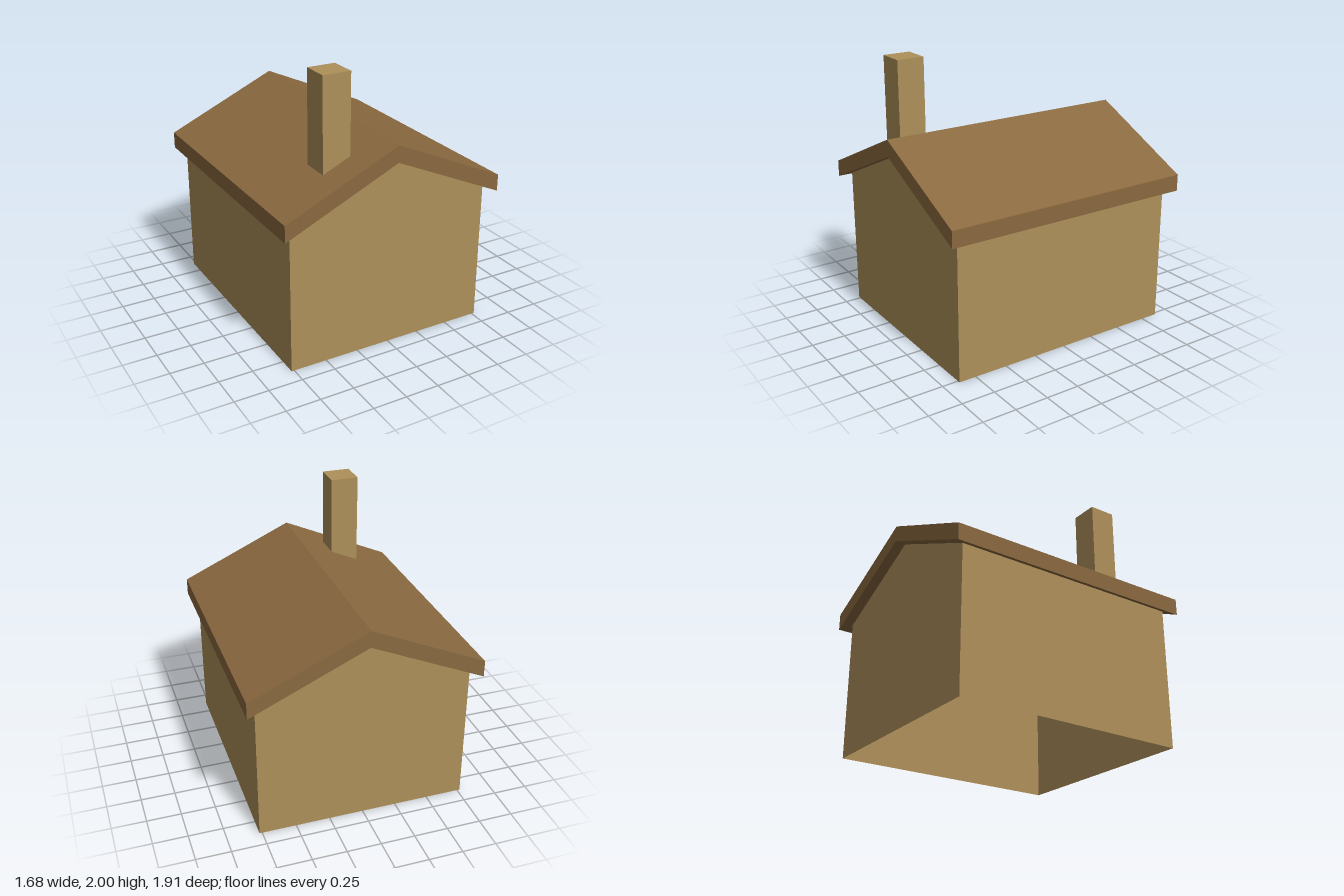
import * as THREE from 'three';

const WALL_X = 0.77, WALL_Z = 0.88;   // half width and half depth of the walls
const ROOF_X = 0.84, ROOF_Z = 0.957;  // half width and half depth of the roof
const RIDGE = 1.4, EAVE = 1.02, THICK = 0.123; // roof underside heights, slab height

// Height of the roof underside at x
const under = (x) => RIDGE - (RIDGE - EAVE) * Math.abs(x) / ROOF_X;

const outline = (points) => new THREE.Shape(points.map(([x, y]) => new THREE.Vector2(x, y)));

export function createModel() {
  const model = new THREE.Group();
  model.name = 'house';

  const wallMat = new THREE.MeshStandardMaterial({ color: 0xae905a, side: THREE.DoubleSide });
  wallMat.name = 'tan wall';
  const roofMat = new THREE.MeshStandardMaterial({ color: 0x8b6a40 });
  roofMat.name = 'brown roof';

  const add = (name, geometry, material, parent = model) => {
    const mesh = new THREE.Mesh(geometry, material);
    mesh.name = name;
    parent.add(mesh);
    return mesh;
  };

  // Thin walls, open at the bottom
  const walls = new THREE.Group();
  walls.name = 'walls';
  model.add(walls);
  const wallTop = under(WALL_X);
  const gable = new THREE.ShapeGeometry(outline([
    [-WALL_X, 0], [WALL_X, 0], [WALL_X, wallTop], [0, RIDGE], [-WALL_X, wallTop],
  ]));
  const sideWall = new THREE.PlaneGeometry(2 * WALL_Z, wallTop);
  for (const s of [1, -1]) {
    const end = add(s > 0 ? 'frontWall' : 'backWall', gable, wallMat, walls);
    end.position.z = s * WALL_Z;
    end.rotation.y = s > 0 ? 0 : Math.PI;
    const side = add(s > 0 ? 'leftWall' : 'rightWall', sideWall, wallMat, walls);
    side.position.set(s * WALL_X, wallTop / 2, 0);
    side.rotation.y = s * Math.PI / 2;
  }

  // Pitched roof slab with vertical eaves
  const roof = new THREE.ExtrudeGeometry(outline([
    [-ROOF_X, EAVE], [0, RIDGE], [ROOF_X, EAVE],
    [ROOF_X, EAVE + THICK], [0, RIDGE + THICK], [-ROOF_X, EAVE + THICK],
  ]), { depth: 2 * ROOF_Z, bevelEnabled: false });
  roof.translate(0, 0, -ROOF_Z);
  add('roof', roof, roofMat);

  // Square chimney, its foot hidden inside the roof slab
  const foot = 1.305;
  add('chimney', new THREE.BoxGeometry(0.208, 2 - foot, 0.208), wallMat)
    .position.set(-0.34, (2 + foot) / 2, 0.63);

  return model;
}
